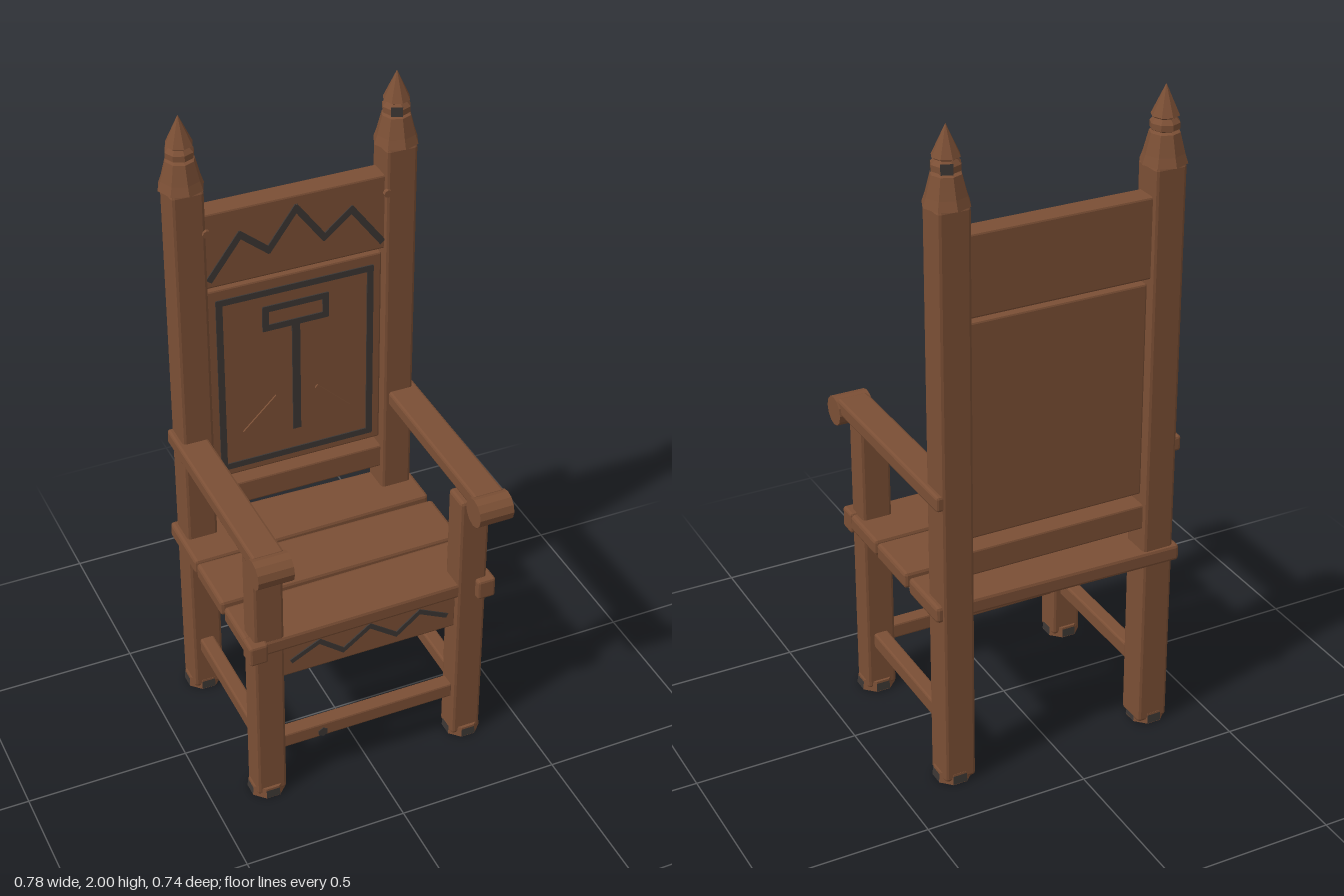
import * as THREE from 'three';
import { RoundedBoxGeometry } from 'three/addons/geometries/RoundedBoxGeometry.js';

export function createModel() {
  const chair = new THREE.Group();
  chair.name = 'chair';
  const wood = new THREE.MeshStandardMaterial({ color: 0x7b4f35 });
  wood.name = 'brown wood';
  const dark = new THREE.MeshStandardMaterial({ color: 0x3b3633 });
  dark.name = 'dark stain';

  function add(name, geometry, x, y, z, material = wood) {
    // faceted normals
    const geo = geometry.index ? geometry.toNonIndexed() : geometry;
    geo.computeVertexNormals();
    const mesh = new THREE.Mesh(geo, material);
    mesh.name = name;
    mesh.position.set(x, y, z);
    chair.add(mesh);
    return mesh;
  }

  // Chamfered timber given by its extents
  function timber(name, [x0, x1], [y0, y1], [z0, z1], chamfer = 0.006) {
    const geo = new RoundedBoxGeometry(x1 - x0, y1 - y0, z1 - z0, 1, chamfer);
    return add(name, geo, (x0 + x1) / 2, (y0 + y1) / 2, (z0 + z1) / 2);
  }

  // Flat strips following a polyline on a front-facing surface
  function strips(name, points, z, width = 0.02, material = dark) {
    for (let i = 0; i < points.length - 1; i++) {
      const [ax, ay] = points[i], [bx, by] = points[i + 1];
      const length = Math.hypot(bx - ax, by - ay) + width * 0.8;
      const strip = add(name, new THREE.BoxGeometry(length, width, 0.006),
        (ax + bx) / 2, (ay + by) / 2, z, material);
      strip.rotation.z = Math.atan2(by - ay, bx - ax);
    }
  }

  function frame(name, x, y0, y1, z) {
    strips(name, [[-x, y0], [x, y0], [x, y1], [-x, y1], [-x, y0]], z);
  }

  // Seat planks, each slightly tapered from side to side
  const planks = [
    { z: [0.072, 0.268], back: -0.012, front: -0.008 },
    { z: [-0.138, 0.057], back: 0.003, front: -0.004 },
    { z: [-0.35, -0.153], back: 0.016, front: -0.012 },
  ];
  for (const { z, back, front } of planks) {
    const plank = timber('seatPlank', [-0.387, 0.387], [0.555, 0.607], z, 0.01);
    const pos = plank.geometry.attributes.position;
    for (let i = 0; i < pos.count; i++) {
      const slope = pos.getZ(i) < 0 ? back : front;
      pos.setZ(i, pos.getZ(i) + pos.getX(i) * slope / 0.774);
    }
    plank.geometry.computeVertexNormals();
  }

  const finialProfile = [
    [0, 1.775], [0.067, 1.783], [0.058, 1.81], [0.043, 1.868], [0.03, 1.872],
    [0.042, 1.878], [0.042, 1.895], [0.03, 1.908], [0.04, 1.914], [0, 2],
  ].map(([r, y]) => new THREE.Vector2(r, y));

  for (const s of [-1, 1]) {
    const span = (a, b) => (s > 0 ? [a, b] : [-b, -a]);

    // Posts, legs and arms
    timber('backPost', span(0.272, 0.369), [0.01, 1.785], [-0.349, -0.251], 0.01);
    timber('frontLeg', span(0.275, 0.369), [0.01, 0.908], [0.185, 0.268], 0.01);
    timber('arm', span(0.29, 0.385), [0.912, 0.96], [-0.347, 0.312], 0.008);
    const scroll = add('armScroll', new THREE.CylinderGeometry(0.045, 0.045, 0.107, 12),
      s * 0.337, 0.915, 0.325);
    scroll.rotation.z = Math.PI / 2;

    timber('sideStretcher', span(0.3, 0.345), [0.155, 0.205], [-0.27, 0.2]);
    timber('seatCornerBlock', span(0.332, 0.39), [0.545, 0.613], [0.23, 0.288], 0.008);

    // Feet with worn dark patches and undersides
    for (const z of [-0.3, 0.227]) {
      const x = s * 0.325;
      const turn = Math.PI / 8;
      add('foot', new THREE.CylinderGeometry(0.054, 0.057, 0.034, 8, 1, false, turn),
        x, 0.017, z);
      for (let i = 0; i < 8; i += 2) {
        add('footPatch', new THREE.CylinderGeometry(0.0555, 0.0582, 0.026, 1, 1, true,
          turn + (i + 1) * Math.PI / 4, Math.PI / 4), x, 0.015, z, dark);
      }
      const sole = add('footSole', new THREE.RingGeometry(0.022, 0.05, 8), x, -0.0005, z, dark);
      sole.rotation.x = Math.PI / 2;
    }

    // Finial and the peg beside the top rail
    add('finial', new THREE.LatheGeometry(finialProfile, 8), s * 0.322, 0, -0.302);
    const peg = add('peg', new THREE.CylinderGeometry(0.012, 0.012, 0.012, 8),
      s * 0.274, 1.65, -0.249);
    peg.rotation.x = Math.PI / 2;
  }

  // Dark facets on the left finial neck
  for (let i = 0; i < 3; i++) {
    add('finialPatch', new THREE.CylinderGeometry(0.0435, 0.0435, 0.03, 1, 1, true,
      -Math.PI / 4 + i * Math.PI / 2, Math.PI / 4), 0.322, 1.89, -0.302, dark);
  }

  // Back rest: two rails and a thinner panel between them
  timber('topRail', [-0.28, 0.28], [1.46, 1.7], [-0.335, -0.265]);
  timber('backPanel', [-0.272, 0.272], [0.787, 1.443], [-0.322, -0.277]);
  timber('lowerRail', [-0.28, 0.28], [0.678, 0.757], [-0.335, -0.268]);

  // Front apron and stretcher
  timber('frontApron', [-0.28, 0.28], [0.438, 0.56], [0.205, 0.25]);
  timber('frontStretcher', [-0.28, 0.28], [0.155, 0.205], [0.203, 0.25]);
  const knot = add('stretcherKnot', new THREE.CylinderGeometry(0.016, 0.016, 0.004, 6),
    -0.15, 0.173, 0.251, dark);
  knot.rotation.x = Math.PI / 2;

  // Inlaid zigzags
  strips('topZigzag', [[-0.262, 1.492], [-0.17, 1.615], [-0.085, 1.545], [0, 1.66],
    [0.085, 1.545], [0.17, 1.615], [0.262, 1.492]], -0.264);
  strips('apronZigzag', [[-0.245, 0.492], [-0.16, 0.535], [-0.085, 0.475], [0, 0.537],
    [0.085, 0.475], [0.16, 0.535], [0.245, 0.492]], 0.251, 0.015);

  // Panel inlay: border, hammer shape and two raised slats
  frame('panelBorder', 0.235, 0.822, 1.398, -0.276);
  frame('hammerHead', 0.094, 1.278, 1.342, -0.276);
  strips('hammerHandle', [[0, 0.91], [0, 1.268]], -0.276, 0.025);
  for (const s of [-1, 1]) {
    strips('panelSlat', [[s * 0.165, 0.935], [s * 0.066, 1.03]], -0.275, 0.012, wood);
  }

  return chair;
}
